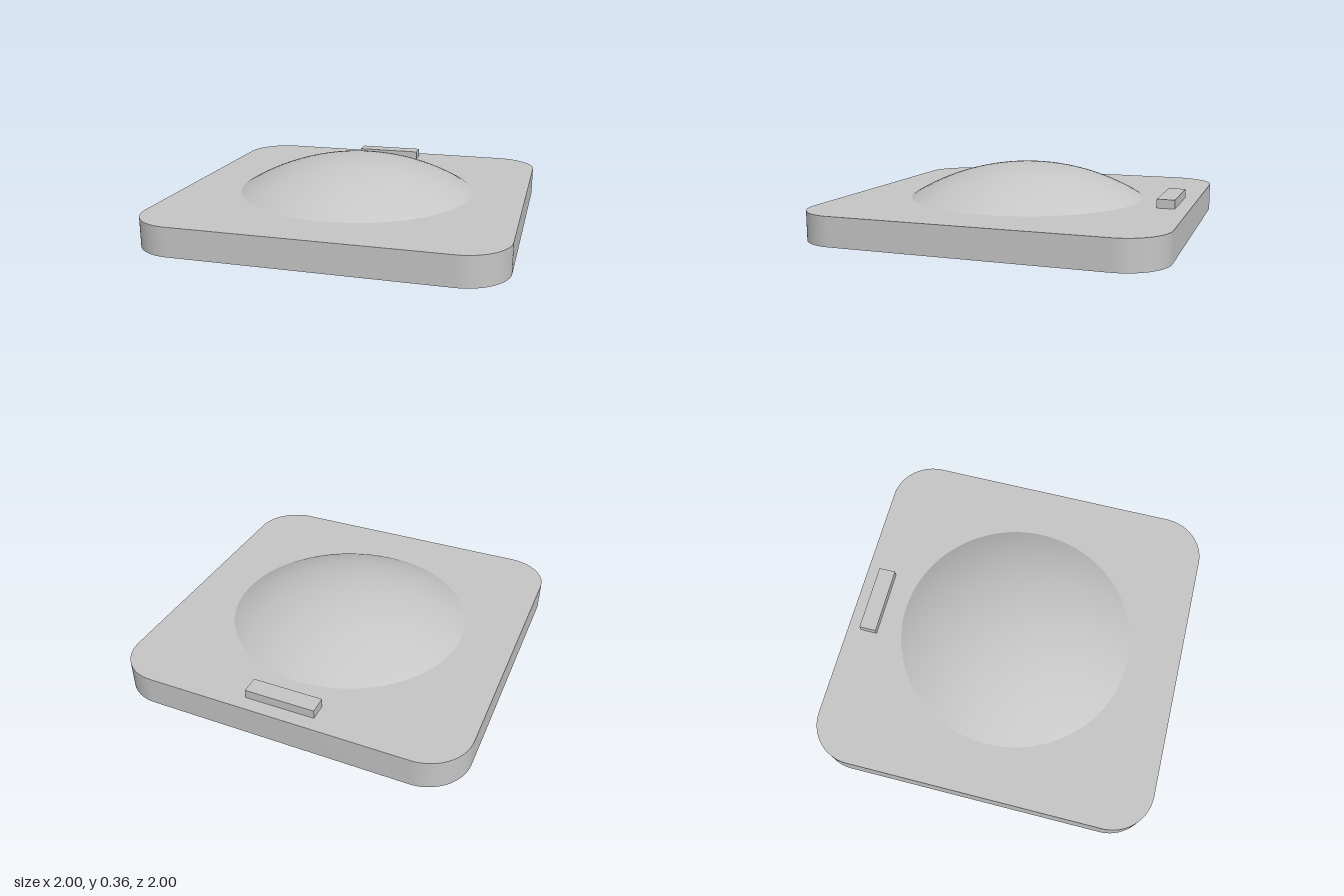
import * as THREE from 'three';
import { toCreasedNormals } from 'three/addons/utils/BufferGeometryUtils.js';

const BASE_HEIGHT = 0.165;

// Square outline with rounded corners, centred on the origin
function roundedSquare(half, radius) {
  const shape = new THREE.Shape();
  const c = half - radius;
  [[c, c], [-c, c], [-c, -c], [c, -c]].forEach(([x, y], i) => {
    shape.absarc(x, y, radius, i * Math.PI / 2, (i + 1) * Math.PI / 2, false);
  });
  shape.closePath();
  return shape;
}

export function createModel() {
  const model = new THREE.Group();
  model.name = 'domedPlate';
  const grey = new THREE.MeshStandardMaterial({ name: 'light grey', color: 0xc6c6c6 });

  function add(name, geometry, x, y, z) {
    const mesh = new THREE.Mesh(geometry, grey);
    mesh.name = name;
    mesh.position.set(x, y, z);
    model.add(mesh);
  }

  // Flat base plate with smooth rounded corners
  const plate = new THREE.ExtrudeGeometry(roundedSquare(1, 0.25), {
    depth: BASE_HEIGHT, bevelEnabled: false, curveSegments: 16,
  });
  plate.rotateX(-Math.PI / 2);
  add('basePlate', toCreasedNormals(plate, Math.PI / 6), 0, 0, 0);

  // Shallow spherical cap
  const rim = 0.695, rise = 0.195;
  const radius = (rim * rim + rise * rise) / (2 * rise);
  const cap = new THREE.SphereGeometry(radius, 64, 16, 0, Math.PI * 2, 0, Math.asin(rim / radius));
  add('dome', cap, 0, BASE_HEIGHT + rise - radius, 0);

  // Small raised bar near the back edge
  add('backBar', new THREE.BoxGeometry(0.4, 0.05, 0.1), 0, BASE_HEIGHT + 0.025, -0.87);

  return model;
}
